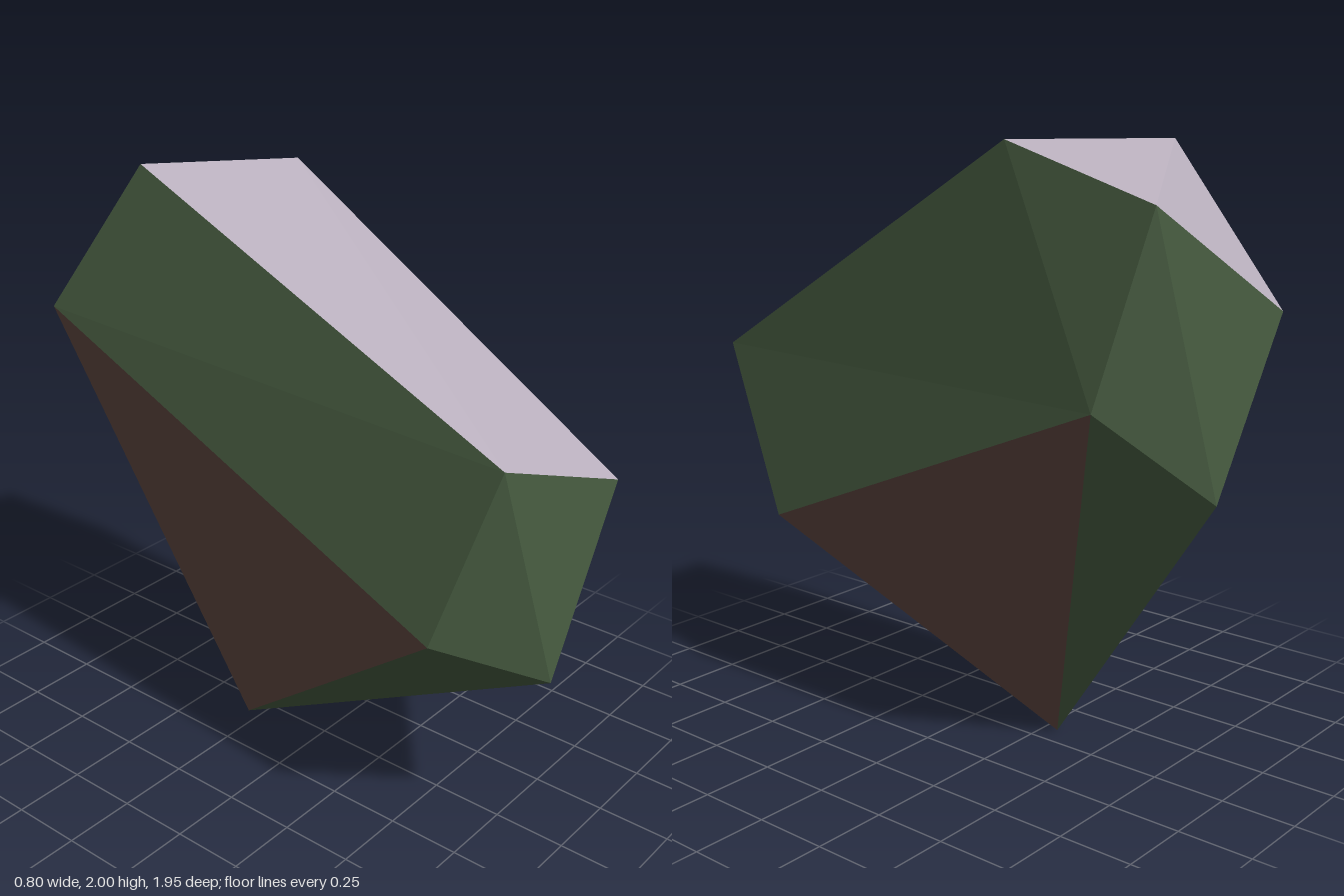
import * as THREE from 'three';

// Corners of the faceted rock
const P = {
  A: [-0.13, 2.0, -0.67], B: [0.26, 2.0, -0.33], // crest
  C: [-0.27, 1.41, 0.87], D: [0.21, 1.24, 0.97], // upper front
  E: [0.28, 1.84, -0.88], F: [-0.29, 1.49, -0.97], // upper back
  G: [0.4, 1.26, -0.76], H: [0.34, 0.69, 0.61], // left flank
  I: [-0.1, 0.67, 0.97], J: [-0.4, 0.84, 0.72], // lower front
  K: [-0.08, 0, -0.3], L: [0.07, 0.96, -0.98], // foot and lower back
};
const CENTRE = new THREE.Vector3(0, 1.1, 0);

// Mesh from triangles named by their corners, each turned to face outward
function facets(name, triangles, material) {
  const positions = [];
  for (const tri of triangles) {
    const [a, b, c] = [...tri].map((k) => new THREE.Vector3(...P[k]));
    const normal = b.clone().sub(a).cross(c.clone().sub(a));
    const outward = normal.dot(a.clone().sub(CENTRE)) > 0;
    for (const v of outward ? [a, b, c] : [a, c, b]) positions.push(v.x, v.y, v.z);
  }
  const geometry = new THREE.BufferGeometry();
  geometry.setAttribute('position', new THREE.Float32BufferAttribute(positions, 3));
  geometry.computeVertexNormals();
  const mesh = new THREE.Mesh(geometry, material);
  mesh.name = name;
  return mesh;
}

function paint(name, color) {
  const material = new THREE.MeshStandardMaterial({ color });
  material.name = name;
  return material;
}

export function createModel() {
  const lilac = paint('pale lilac', 0xb9afbd);
  const green = paint('moss green', 0x465b40);
  const brown = paint('earth brown', 0x624943);

  const rock = new THREE.Group();
  rock.name = 'rock';
  rock.add(
    // Sloping cap
    facets('topFacets', ['ABE', 'AEF', 'ACB', 'CDB'], lilac),
    // Flanks and ends
    facets('leftFlank', ['GEB', 'GBD', 'GDH'], green),
    facets('rightFlank', ['AFC', 'FJC'], green),
    facets('frontEnd', ['DIH', 'CID', 'CJI', 'HIK', 'IJK'], green),
    facets('backEnd', ['EGL', 'ELF', 'GKL', 'KFL'], green),
    // Large lower faces on both sides
    facets('lowerLeftFace', ['HGK'], brown),
    facets('lowerRightFace', ['FJK'], brown),
  );
  return rock;
}
